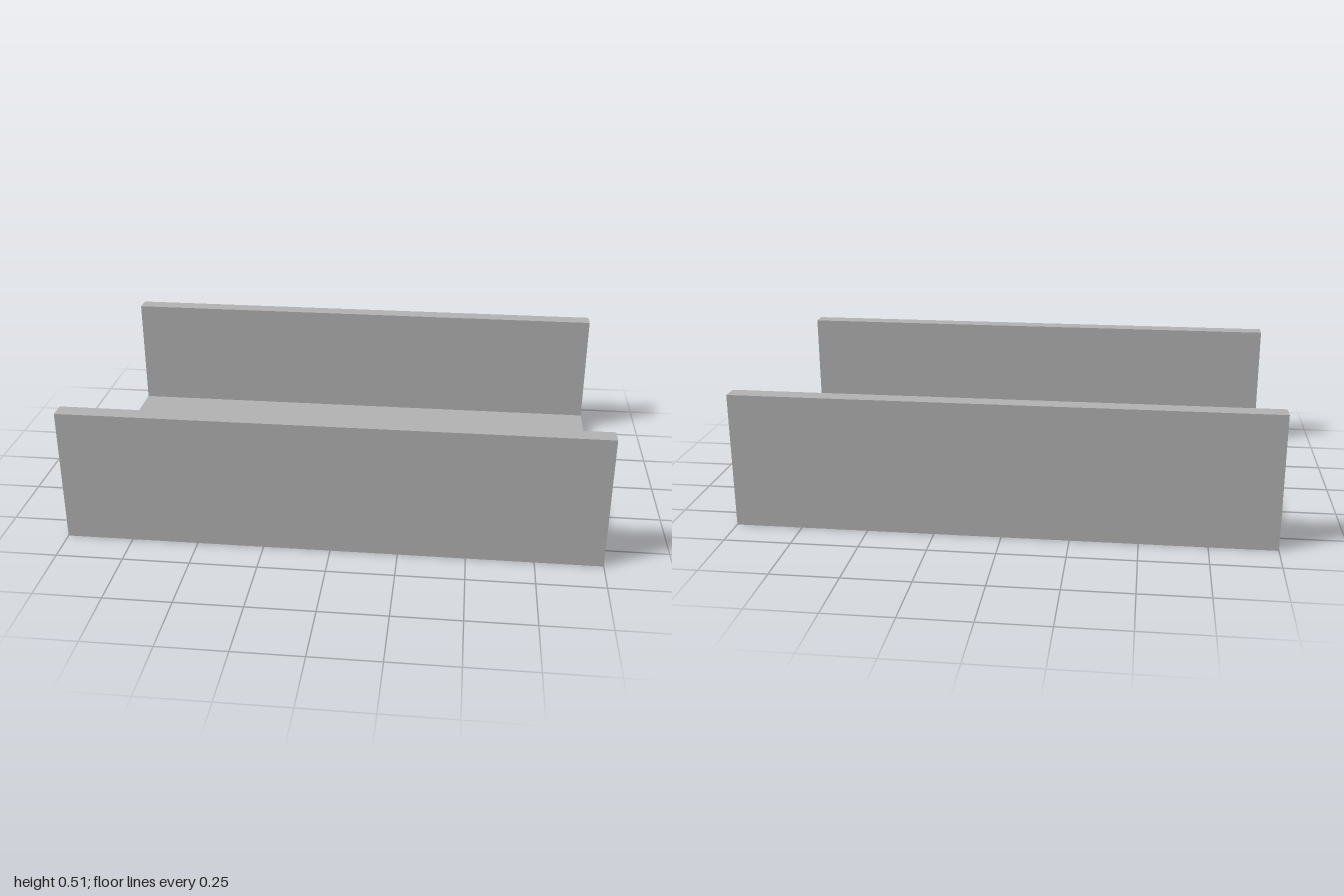
import * as THREE from 'three';
import { toCreasedNormals } from 'three/addons/utils/BufferGeometryUtils.js';

const LENGTH = 2, HALF_WIDTH = 0.61, HEIGHT = 0.51, WALL = 0.065;
const HOLE_DEPTH = 0.05, HOLE_RADIUS = 0.034, HOLE_X = 0.825, HOLE_Z = 0.275;

export function createModel() {
  const group = new THREE.Group();
  group.name = 'channelTray';
  const grey = new THREE.MeshStandardMaterial({ color: 0xb2b2b2 });
  grey.name = 'grey';

  const add = (name, geometry) => {
    const mesh = new THREE.Mesh(geometry, grey);
    mesh.name = name;
    group.add(mesh);
  };

  // U-shaped channel: upper floor layer and both side walls, run along x
  const inner = HALF_WIDTH - WALL;
  const profile = new THREE.Shape([
    [-HALF_WIDTH, HOLE_DEPTH], [HALF_WIDTH, HOLE_DEPTH], [HALF_WIDTH, HEIGHT], [inner, HEIGHT],
    [inner, WALL], [-inner, WALL], [-inner, HEIGHT], [-HALF_WIDTH, HEIGHT],
  ].map(([z, y]) => new THREE.Vector2(z, y)));
  const channel = new THREE.ExtrudeGeometry(profile, { depth: LENGTH, bevelEnabled: false });
  channel.translate(0, 0, -LENGTH / 2).rotateY(Math.PI / 2);
  add('channel', channel);

  // Lower floor layer with four blind screw holes open to the underside
  const L = LENGTH / 2;
  const plate = new THREE.Shape([[-L, -HALF_WIDTH], [L, -HALF_WIDTH], [L, HALF_WIDTH], [-L, HALF_WIDTH]]
    .map(([x, z]) => new THREE.Vector2(x, z)));
  for (const sx of [-1, 1]) {
    for (const sz of [-1, 1]) {
      plate.holes.push(new THREE.Path().absarc(sx * HOLE_X, sz * HOLE_Z, HOLE_RADIUS, 0, Math.PI * 2, true));
    }
  }
  const base = new THREE.ExtrudeGeometry(plate, { depth: HOLE_DEPTH, bevelEnabled: false, curveSegments: 32 });
  base.rotateX(-Math.PI / 2);
  add('basePlate', toCreasedNormals(base, 0.6));

  return group;
}
